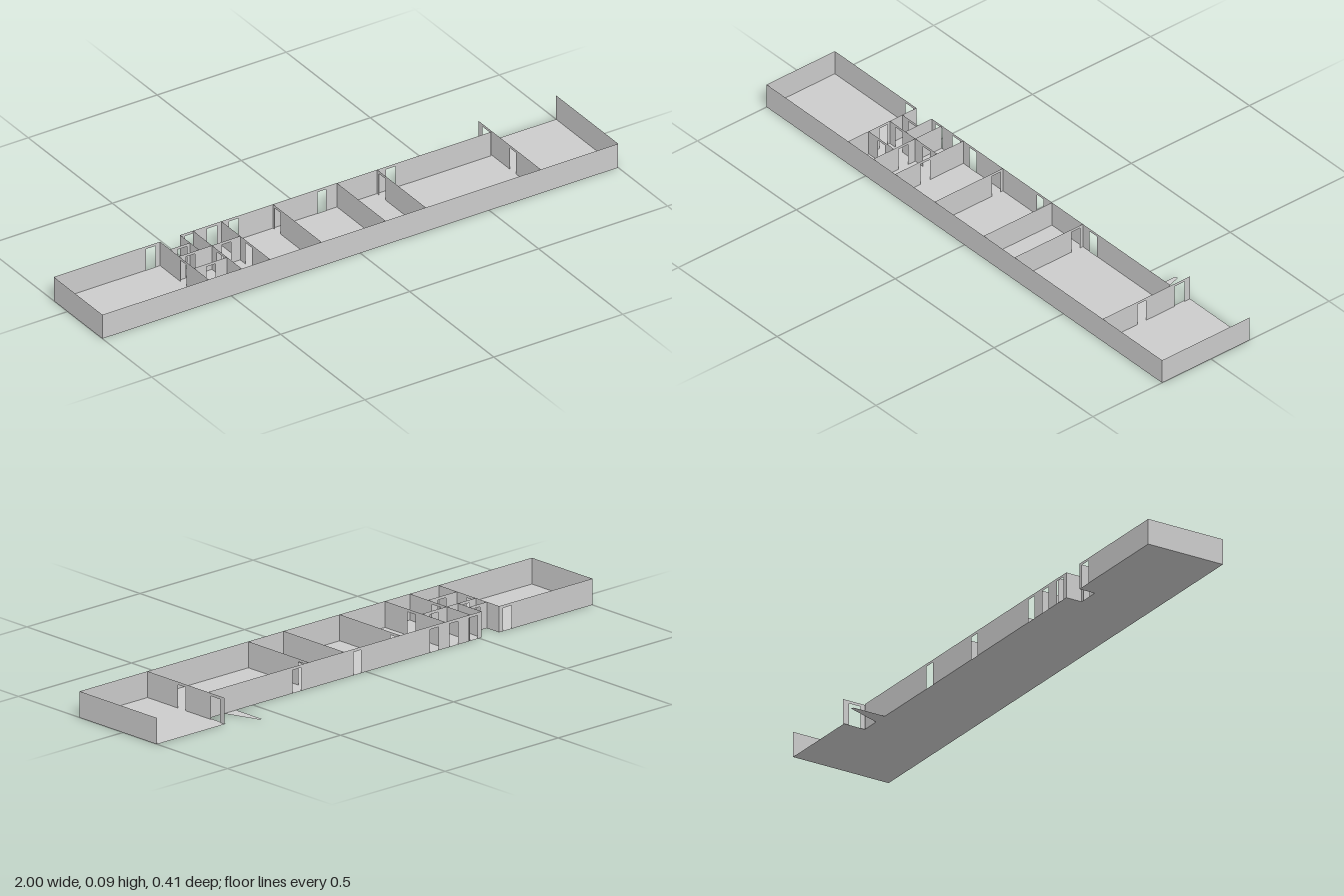
import * as THREE from 'three';

const H = 0.09;       // wall height
const DOOR_H = 0.08;  // door opening height
const FRONT = 0.207, BACK = -0.082, YARD = -0.1625, NOTCH = -0.023;

export function createModel() {
  const group = new THREE.Group();
  const mat = new THREE.MeshStandardMaterial({ color: 0xcccccc, side: THREE.DoubleSide, flatShading: true });

  // Thin upright sheet along one axis; doors are [start, end] pairs cut up from the floor
  function sheet(name, from, to, doors) {
    const s = new THREE.Shape();
    s.moveTo(from, 0);
    for (const [a, b] of doors) {
      s.lineTo(a, 0);
      s.lineTo(a, DOOR_H);
      s.lineTo(b, DOOR_H);
      s.lineTo(b, 0);
    }
    s.lineTo(to, 0);
    s.lineTo(to, H);
    s.lineTo(from, H);
    s.closePath();
    const mesh = new THREE.Mesh(new THREE.ShapeGeometry(s), mat);
    mesh.name = name;
    group.add(mesh);
    return mesh;
  }
  // Wall running along x at a given z
  function longWall(name, z, x0, x1, doors = []) {
    sheet(name, x0, x1, doors).position.z = z;
  }
  // Wall running along z at a given x
  function crossWall(name, x, z0, z1, doors = []) {
    const m = sheet(name, z0, z1, doors);
    m.rotation.y = -Math.PI / 2;
    m.position.x = x;
  }

  // Floor slab with entrance notch, pointed sliver and wider end bay
  const outline = [
    [-1, FRONT], [1, FRONT], [1, YARD], [0.695, YARD], [0.695, BACK], [0.628, BACK],
    [0.585, -0.207], [0.575, -0.203], [0.575, BACK], [-0.51, BACK], [-0.51, NOTCH],
    [-0.588, NOTCH], [-0.588, BACK], [-1, BACK],
  ];
  const floorShape = new THREE.Shape(outline.map(([x, z]) => new THREE.Vector2(x, -z)));
  const floor = new THREE.Mesh(new THREE.ShapeGeometry(floorShape), mat);
  floor.rotation.x = -Math.PI / 2;
  floor.name = 'floor';
  group.add(floor);

  // Outer walls
  longWall('frontWall', FRONT, -1, 1);
  crossWall('rightEndWall', -1, BACK, FRONT);
  crossWall('leftEndWall', 1, YARD, FRONT);
  longWall('backWallShort', BACK, -1, -0.588, [[-0.642, -0.605]]);
  longWall('backWallLong', BACK, -0.51, 0.695,
    [[-0.492, -0.455], [-0.405, -0.368], [-0.32, -0.283], [0.022, 0.056], [0.288, 0.325]]);
  longWall('notchWall', NOTCH, -0.588, -0.51, [[-0.558, -0.522]]);
  crossWall('notchSide', -0.51, BACK, 0.03);

  // Full-depth partitions between rooms
  crossWall('partition', -0.588, BACK, FRONT, [[0.04, 0.075]]);
  crossWall('partition', -0.35, BACK, FRONT, [[0.06, 0.1]]);
  crossWall('partition', -0.15, BACK, FRONT, [[-0.072, -0.036]]);
  crossWall('partition', 0.098, BACK, FRONT);
  crossWall('partition', 0.254, BACK, FRONT, [[-0.07, -0.033]]);
  crossWall('partition', 0.7, YARD, FRONT, [[-0.14, -0.096], [0.025, 0.06]]);

  // Small rooms beside the entrance
  longWall('smallRoomWall', 0.03, -0.588, -0.35, [[-0.56, -0.525], [-0.42, -0.385]]);
  longWall('smallRoomWall', 0.12, -0.588, -0.46, [[-0.54, -0.505]]);
  crossWall('smallRoomWall', -0.46, BACK, FRONT, [[0.06, 0.1]]);

  return group;
}
